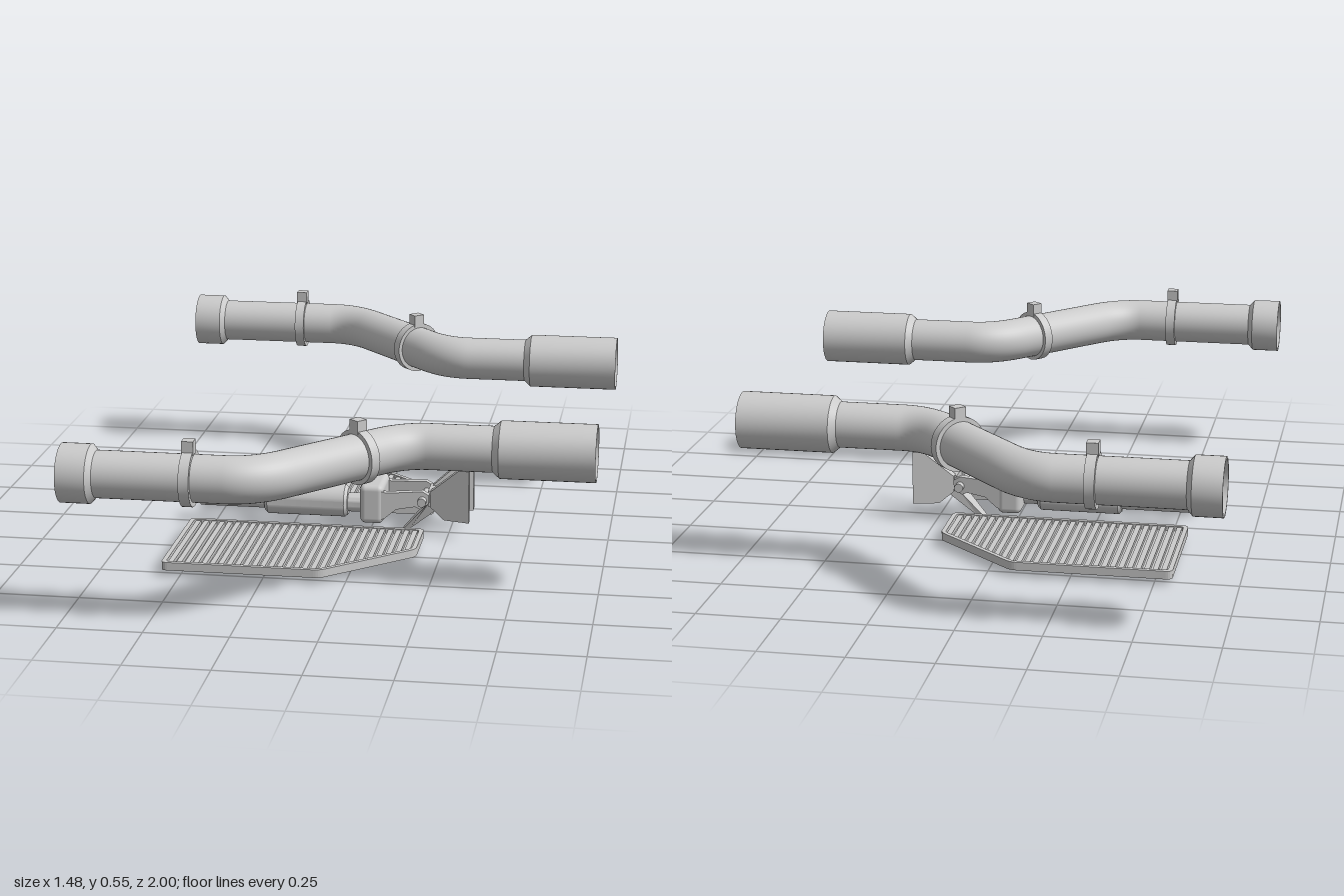
import * as THREE from 'three';
import { toCreasedNormals } from 'three/addons/utils/BufferGeometryUtils.js';
import { RoundedBoxGeometry } from 'three/addons/geometries/RoundedBoxGeometry.js';

const grey = new THREE.MeshStandardMaterial({ color: 0xcccccc, side: THREE.DoubleSide });
const V = (x, y, z) => new THREE.Vector3(x, y, z);

function add(parent, name, geometry, x = 0, y = 0, z = 0) {
  const mesh = new THREE.Mesh(geometry, grey);
  mesh.name = name;
  mesh.position.set(x, y, z);
  parent.add(mesh);
  return mesh;
}

// Surface of revolution about the x axis; profile is a list of [x, radius]
function turned(profile, segments = 40) {
  const points = profile.map(([x, r]) => new THREE.Vector2(r, x));
  const g = new THREE.LatheGeometry(points, segments).rotateZ(-Math.PI / 2);
  return toCreasedNormals(g, 0.5);
}

// Closed outline with rounded corners
function rounded(points, r, Type = THREE.Shape) {
  const p = points.map(([x, y]) => new THREE.Vector2(x, y));
  const shape = new Type();
  p.forEach((c, i) => {
    const before = p[(i + p.length - 1) % p.length], after = p[(i + 1) % p.length];
    const a = before.clone().sub(c).setLength(r).add(c);
    const b = after.clone().sub(c).setLength(r).add(c);
    if (i) shape.lineTo(a.x, a.y); else shape.moveTo(a.x, a.y);
    shape.quadraticCurveTo(c.x, c.y, b.x, b.y);
  });
  shape.closePath();
  return shape;
}

// Side profile extruded in z, skewed so that z follows x
function plate(points, depth, skew = 0, x0 = 0) {
  const shape = new THREE.Shape(points.map(([x, y]) => new THREE.Vector2(x, y)));
  const g = new THREE.ExtrudeGeometry(shape, { depth, bevelEnabled: false });
  g.translate(0, 0, -depth / 2);
  const p = g.attributes.position;
  for (let i = 0; i < p.count; i++) p.setZ(i, p.getZ(i) + skew * (p.getX(i) - x0));
  g.computeVertexNormals();
  return g;
}

// Band clamp with a tab on top
function clamp(parent, x, y, z, turn) {
  const g = new THREE.Group();
  g.name = 'bandClamp';
  g.position.set(x, y, z);
  g.rotation.y = turn;
  add(g, 'band', turned([[-0.015, 0.066], [-0.015, 0.081], [0.015, 0.081], [0.015, 0.066]]));
  add(g, 'clampTab', new THREE.BoxGeometry(0.034, 0.04, 0.036), 0, 0.091, 0);
  parent.add(g);
}

function exhaustPipe(s) {
  const g = new THREE.Group();
  g.name = s > 0 ? 'frontPipe' : 'backPipe';
  const y = 0.435, R = 0.068, outer = 0.915 * s, inner = 0.512 * s;
  const at = (x, z) => V(x, y, z * s);

  // S-shaped run
  const path = new THREE.CurvePath();
  const a = at(-0.27, 0.915), b = at(-0.12, 0.838), c = at(0.11, 0.584), d = at(0.25, 0.512);
  path.add(new THREE.LineCurve3(at(-0.65, 0.915), a));
  path.add(new THREE.QuadraticBezierCurve3(a, at(-0.19, 0.915), b));
  path.add(new THREE.LineCurve3(b, c));
  path.add(new THREE.QuadraticBezierCurve3(c, at(0.175, 0.512), d));
  path.add(new THREE.LineCurve3(d, at(0.46, 0.512)));
  add(g, 'pipe', new THREE.TubeGeometry(path, 100, R, 40));

  // Hollow inlet collar and wide outlet tip
  add(g, 'inletCollar', turned([[-0.64, R], [-0.655, 0.085], [-0.74, 0.085], [-0.74, 0.078],
    [-0.66, 0.078], [-0.66, 0.066]]), 0, y, outer);
  add(g, 'outletTip', turned([[0.438, R], [0.458, 0.085], [0.737, 0.085], [0.737, 0.081],
    [0.46, 0.081], [0.46, 0.066]]), 0, y, inner);

  clamp(g, -0.375, y, outer, 0);
  clamp(g, 0.06, y, 0.64 * s, 0.834 * s);
  return g;
}

function grate(s) {
  const g = new THREE.Group();
  g.name = s > 0 ? 'frontGrate' : 'backGrate';
  const side = (pts) => pts.map(([x, z]) => [x, z * s]);
  const edge = side([[-0.555, 0.107], [0.185, 0.107], [0.185, 0.303], [-0.073, 0.535], [-0.555, 0.535]]);
  const hole = side([[-0.541, 0.121], [0.171, 0.121], [0.171, 0.297], [-0.078, 0.521], [-0.541, 0.521]]);

  const frame = rounded(edge, 0.02);
  frame.holes.push(rounded(hole, 0.012, THREE.Path));
  const slab = (shape, depth) =>
    new THREE.ExtrudeGeometry(shape, { depth, bevelEnabled: false, curveSegments: 5 }).rotateX(Math.PI / 2);
  add(g, 'grateFrame', slab(frame, 0.025), 0, 0.045, 0);
  add(g, 'grateBacking', slab(rounded(hole, 0.012), 0.004), 0, 0.03, 0);

  // Slats run in z and are cut short along the slanted edge
  const count = 28, pitch = 0.712 / count;
  for (let i = 0; i < count; i++) {
    const x = -0.541 + pitch * (i + 0.5);
    const end = Math.min(0.524, 0.521 - (x + 0.078) * 0.9);
    const length = end - 0.118;
    add(g, 'slat', new THREE.BoxGeometry(0.016, 0.02, length), x, 0.032, s * (0.118 + length / 2));
  }
  return g;
}

function actuator() {
  const g = new THREE.Group();
  g.name = 'actuator';
  g.position.z = -0.005;

  // Rod, barrel, neck and head block
  const rod = turned([[-0.545, 0], [-0.545, 0.03], [-0.32, 0.03]], 28);
  add(g, 'rod', rod, 0, 0.084, 0);
  add(g, 'barrel', turned([[-0.335, 0], [-0.335, 0.042], [-0.325, 0.051], [-0.08, 0.051],
    [-0.07, 0.042], [-0.07, 0]], 32), 0, 0.089, 0);
  add(g, 'neck', turned([[-0.08, 0.03], [-0.02, 0.03]], 28), 0, 0.085, 0);
  add(g, 'headBlock', new RoundedBoxGeometry(0.075, 0.125, 0.16, 3, 0.018), 0.013, 0.103, 0);

  // Fork arms with pivot bolts, and the two flared blades
  const arm = [[0.03, 0.05], [0.055, 0.06], [0.09, 0.09], [0.15, 0.1], [0.165, 0.092],
    [0.192, 0.11], [0.192, 0.138], [0.172, 0.15], [0.06, 0.143], [0.03, 0.15]];
  const blade = [[0.195, 0.095], [0.24, 0.058], [0.32, 0.058], [0.32, 0.226],
    [0.288, 0.226], [0.195, 0.145]];
  for (const s of [1, -1]) {
    add(g, 'forkArm', plate(arm, 0.022, -0.08 * s, 0.03), 0, 0, 0.066 * s);
    const bolt = new THREE.CylinderGeometry(0.014, 0.014, 0.036, 16).rotateX(Math.PI / 2);
    add(g, 'pivotBolt', bolt, 0.172, 0.12, 0.071 * s);
    add(g, 'blade', plate(blade, 0.028, 0.26 * s, 0.2), 0, 0, 0.036 * s);
  }
  const pin = new THREE.CylinderGeometry(0.009, 0.009, 0.13, 16).rotateX(Math.PI / 2);
  add(g, 'pivotPin', pin, 0.172, 0.12, 0);
  add(g, 'bladeBridge', new THREE.BoxGeometry(0.05, 0.05, 0.08), 0.212, 0.12, 0);

  // Lever tail, narrowing to its lower end
  const tail = plate([[0.098, 0.0], [0.125, 0.01], [0.235, 0.1], [0.215, 0.14], [0.185, 0.1]], 0.07);
  const p = tail.attributes.position;
  for (let i = 0; i < p.count; i++) p.setZ(i, p.getZ(i) * (0.5 + 0.5 * Math.min(1, p.getY(i) / 0.1)));
  tail.computeVertexNormals();
  add(g, 'leverTail', tail);
  return g;
}

export function createModel() {
  const model = new THREE.Group();
  model.name = 'exhaustAndPedalSet';
  for (const s of [1, -1]) model.add(exhaustPipe(s), grate(s));
  model.add(actuator());
  return model;
}
